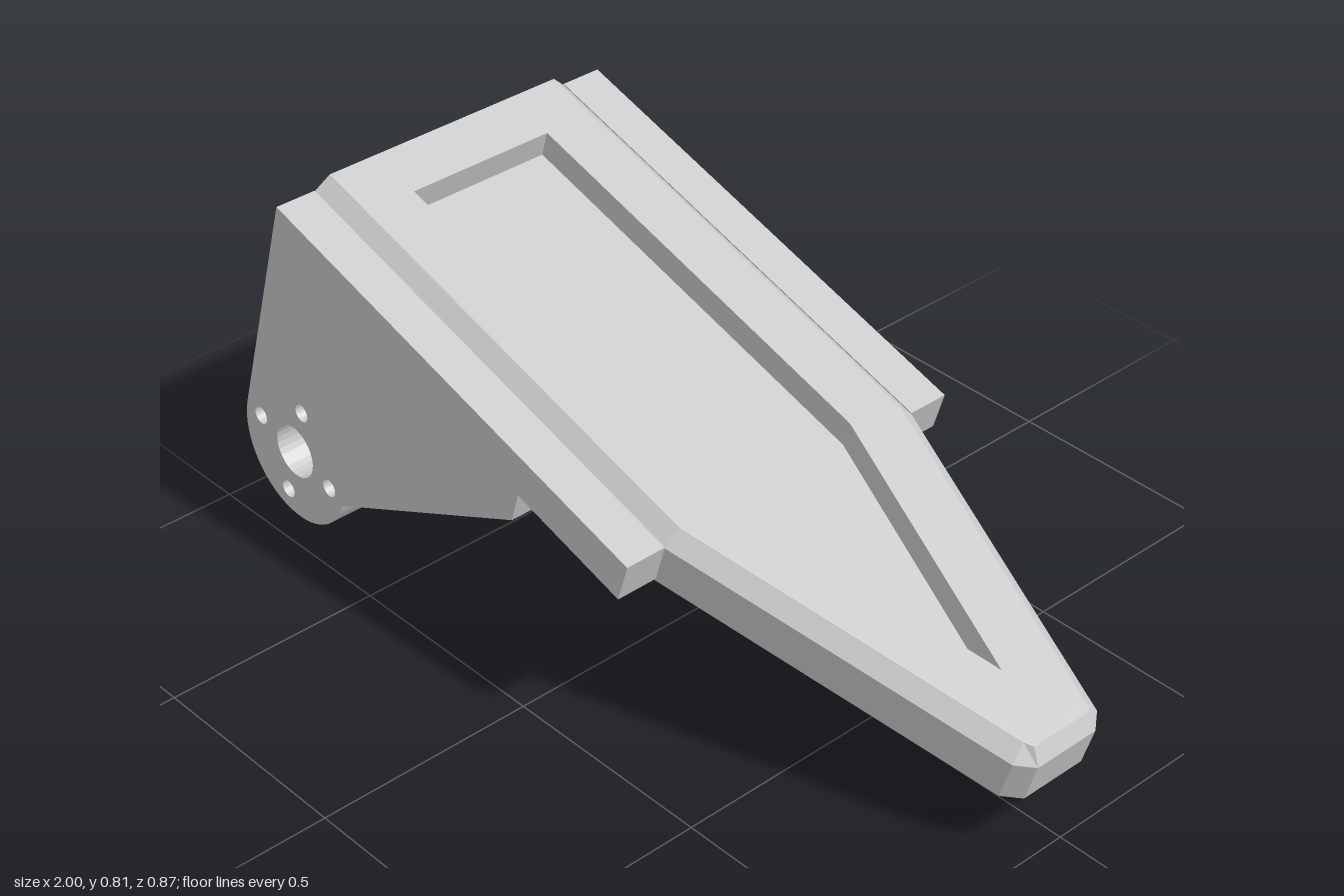
import * as THREE from 'three';

const SLOPE = 17.2 * Math.PI / 180;
const HALF = 0.338;                 // half width of the deck
const OUT = 0.435;                  // outer face of the side plates
const HUB = { x: 0.172, y: -0.617, r: 0.172 };

const flat = new THREE.MeshStandardMaterial({ color: 0xcccccc, flatShading: true });
const smooth = new THREE.MeshStandardMaterial({ color: 0xcccccc });

function add(parent, name, geometry, material = flat) {
  const mesh = new THREE.Mesh(geometry, material);
  mesh.name = name;
  parent.add(mesh);
  return mesh;
}

// Mirror a half outline [u, z] into a full closed loop, counter-clockwise in (u, -z)
function mirrorLoop(half) {
  const right = half.map(([u, z]) => [u, z]);
  const left = half.map(([u, z]) => [u, -z]).reverse();
  return [...right, ...left.filter(([, z]) => z !== 0)];
}

const toShape = (pts) => new THREE.Shape(pts.map(([u, z]) => new THREE.Vector2(u, -z)));

// Walls between stacked loops, each { y, pts }, listed from top to bottom
function walls(rings) {
  const pos = [];
  for (let r = 0; r < rings.length - 1; r++) {
    const a = rings[r], b = rings[r + 1], n = a.pts.length;
    for (let i = 0; i < n; i++) {
      const j = (i + 1) % n;
      const P = (ring, k) => [ring.pts[k][0], ring.y, ring.pts[k][1]];
      pos.push(...P(a, i), ...P(b, i), ...P(b, j), ...P(a, i), ...P(b, j), ...P(a, j));
    }
  }
  const g = new THREE.BufferGeometry();
  g.setAttribute('position', new THREE.Float32BufferAttribute(pos, 3));
  g.computeVertexNormals();
  return g;
}

function cap(shape, y, up) {
  const g = new THREE.ShapeGeometry(shape);
  g.rotateX(-Math.PI / 2);
  if (!up) {
    const idx = g.index.array;
    for (let i = 0; i < idx.length; i += 3) [idx[i], idx[i + 1]] = [idx[i + 1], idx[i]];
    g.computeVertexNormals();
  }
  return g.translate(0, y, 0);
}

function circlePath(x, y, r) {
  return new THREE.Path().absarc(x, y, r, 0, Math.PI * 2, true);
}

// Bore and four screw holes around the hub
function drill(shape) {
  shape.holes.push(circlePath(HUB.x, HUB.y, 0.063));
  for (let i = 0; i < 4; i++) {
    const a = i * Math.PI / 2;
    shape.holes.push(circlePath(HUB.x + 0.122 * Math.cos(a), HUB.y + 0.122 * Math.sin(a), 0.021));
  }
  return shape;
}

const extrude = (shape, depth) =>
  new THREE.ExtrudeGeometry(shape, { depth, bevelEnabled: false, curveSegments: 14 });

// Cylinder on the hub axis between two z positions
function hubDisc(parent, name, r, z0, z1) {
  const g = new THREE.CylinderGeometry(r, r, Math.abs(z1 - z0), 48).rotateX(Math.PI / 2);
  add(parent, name, g, smooth).position.set(HUB.x, HUB.y, (z0 + z1) / 2);
}

// Tapered deck with chamfered edges and a pointed recess
function buildDeck() {
  const deck = new THREE.Group();
  deck.name = 'deck';
  const full = mirrorLoop([[0, HALF], [1.12, HALF], [1.872, 0.118], [1.904, 0.08]]);
  const inset = mirrorLoop([[0, 0.303], [1.113, 0.303], [1.858, 0.087], [1.877, 0.076]]);
  const pocket = mirrorLoop([[0.126, 0.18], [1.09, 0.18], [1.712, 0]]);

  const top = toShape(inset);
  top.holes.push(new THREE.Path(pocket.map(([u, z]) => new THREE.Vector2(u, -z))));
  add(deck, 'deckTop', cap(top, 0, true));
  add(deck, 'deckSides', walls([
    { y: 0, pts: inset }, { y: -0.033, pts: full },
    { y: -0.13, pts: full }, { y: -0.16, pts: inset },
  ]));
  add(deck, 'deckUnderside', cap(toShape(inset), -0.16, false));
  const inward = [...pocket].reverse();
  add(deck, 'recessWalls', walls([{ y: 0, pts: inward }, { y: -0.063, pts: inward }]));
  add(deck, 'recessFloor', cap(toShape(pocket), -0.063, true));
  return deck;
}

// Side rail and leg in one plate, rounded around the hub
function buildPlate() {
  const s = new THREE.Shape();
  s.moveTo(0, -0.03);
  s.lineTo(0, HUB.y);
  s.absarc(HUB.x, HUB.y, HUB.r, Math.PI, Math.PI * 2 - 0.05, false);
  s.lineTo(0.812, -0.2);
  s.lineTo(0.812, -0.125);
  s.lineTo(1.12, -0.125);
  s.lineTo(1.12, -0.03);
  return extrude(drill(s), OUT - HALF);
}

function buildBoss() {
  const s = new THREE.Shape().absarc(HUB.x, HUB.y, HUB.r, 0, Math.PI * 2, false);
  return extrude(drill(s), HALF - 0.295);
}

export function createModel() {
  const model = new THREE.Group();
  model.name = 'model';
  const body = new THREE.Group();
  body.name = 'tiltedBody';
  body.position.set(-0.81, 0.815, 0);
  body.rotation.z = -SLOPE;
  model.add(body);

  body.add(buildDeck());

  // Thick rear underside with fillets towards the legs
  const section = new THREE.Shape([
    [-HALF, -0.13], [-HALF, -0.25], [-0.295, -0.204],
    [0.295, -0.204], [HALF, -0.25], [HALF, -0.13],
  ].map(([z, y]) => new THREE.Vector2(z, y)));
  add(body, 'rearUnderside', extrude(section, 0.755).rotateY(Math.PI / 2));
  add(body, 'crossBeam', new THREE.BoxGeometry(0.06, 0.064, HALF * 2)).position.set(0.782, -0.17, 0);

  // Mirrored legs and bosses
  const plate = buildPlate(), boss = buildBoss();
  for (const [side, sign] of [['left', 1], ['right', -1]]) {
    add(body, side + 'Leg', plate).position.z = sign > 0 ? HALF : -OUT;
    add(body, side + 'Boss', boss).position.z = sign > 0 ? 0.295 : -HALF;
  }

  // Motor with a shaft on one side
  const motor = new THREE.Group();
  motor.name = 'motor';
  body.add(motor);
  hubDisc(motor, 'motorBase', 0.163, 0.297, 0.283);
  hubDisc(motor, 'motorNeck', 0.155, 0.285, 0.275);
  hubDisc(motor, 'motorCan', 0.163, 0.277, 0.215);
  hubDisc(motor, 'motorShaft', 0.018, 0.22, 0.16);
  hubDisc(motor, 'motorRearBearing', 0.04, 0.295, 0.32);

  // Shorter bearing on the opposite side
  const bearing = new THREE.Group();
  bearing.name = 'bearing';
  body.add(bearing);
  hubDisc(bearing, 'bearingDisc', 0.163, -0.297, -0.256);
  hubDisc(bearing, 'bearingCap', 0.075, -0.258, -0.245);
  hubDisc(bearing, 'bearingRear', 0.04, -0.295, -0.32);
  return model;
}
